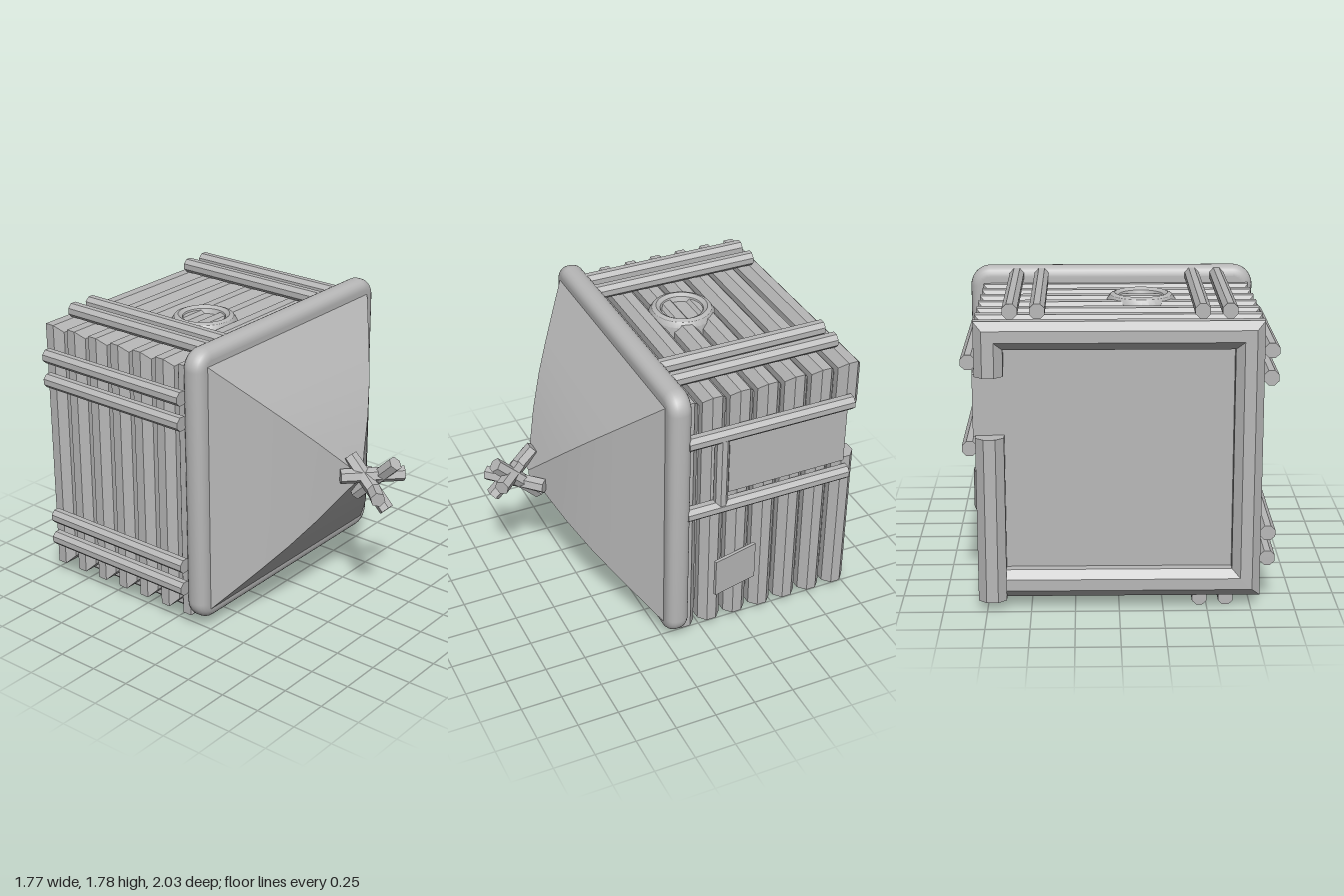
import * as THREE from 'three';
import { toCreasedNormals } from 'three/addons/utils/BufferGeometryUtils.js';

const CY = 0.88;    // height of the body centre
const HALF = 0.72;  // distance from body centre to the log axes

export function createModel() {
  const model = new THREE.Group();
  const gray = new THREE.MeshStandardMaterial({ color: 0xb8b8b8 });

  function add(name, geo, x = 0, y = 0, z = 0) {
    const mesh = new THREE.Mesh(geo, gray);
    mesh.name = name;
    mesh.position.set(x, y, z);
    model.add(mesh);
    return mesh;
  }

  function faceted(geo) {
    const flat = geo.index ? geo.toNonIndexed() : geo;
    flat.computeVertexNormals();
    return flat;
  }

  // Straight faceted rod centred on a point, running along a direction
  function rod(name, center, dir, length, radius, sides = 8) {
    const geo = new THREE.CylinderGeometry(radius, radius, length, sides);
    geo.rotateY(Math.PI / sides);
    const mesh = add(name, faceted(geo), ...center);
    mesh.quaternion.setFromUnitVectors(new THREE.Vector3(0, 1, 0), new THREE.Vector3(...dir).normalize());
    return mesh;
  }

  // Octagonal log swept through stations; each maps the outward offset u to x, y
  function log(name, stations, z0) {
    const n = 8, k = 1 / Math.cos(Math.PI / n), pos = [], idx = [];
    for (const at of stations) {
      for (let j = 0; j < n; j++) {
        const t = (j + 0.5) * 2 * Math.PI / n;
        const [x, y] = at(HALF + 0.08 * k * Math.cos(t));
        pos.push(x, CY + y, z0 + 0.072 * k * Math.sin(t));
      }
    }
    const last = (stations.length - 1) * n;
    for (let i = 0; i < last; i += n) {
      for (let j = 0; j < n; j++) {
        const a = i + j, b = i + (j + 1) % n;
        idx.push(a, a + n, b, b, a + n, b + n);
      }
    }
    for (let j = 1; j < n - 1; j++) {
      idx.push(0, j, j + 1, last, last + j + 1, last + j);
    }
    const geo = new THREE.BufferGeometry();
    geo.setAttribute('position', new THREE.Float32BufferAttribute(pos, 3));
    geo.setIndex(idx);
    add(name, faceted(geo), 0, 0, 0);
  }

  // Inner body
  add('body', new THREE.BoxGeometry(1.42, 1.42, 1.03), 0, CY, -0.385);

  // Log hoops around the body, the rear one interrupted by the window
  const upright = (y) => (d) => [d, y - CY];
  const around = [(d) => [d, d], (d) => [-d, d], (d) => [-d, -d], (d) => [0.64, -d]];
  for (let i = 0; i < 7; i++) {
    const z = 0.11 - i * 0.1725;
    if (i < 6) {
      log('logHoop', [upright(0.055), ...around], z);
    } else {
      log('rearLowerLog', [upright(0.055), upright(1.02)], z);
      log('rearLogHoop', [upright(1.37), ...around], z);
    }
  }

  // Window block and small tilted hatch plate on the side
  add('sideWindow', new THREE.BoxGeometry(0.2, 0.36, 0.76), 0.715, 1.19, -0.52);
  const hatch = add('hatchPlate', new THREE.BoxGeometry(0.02, 0.25, 0.3), 0.835, 0.435, -0.19);
  hatch.rotation.y = 0.22;

  // Rails running front to back
  const railAt = (name, x, y) => rod(name, [x, y, -0.385], [0, 0, 1], 1.05, 0.046);
  for (const x of [-0.61, -0.46, 0.45, 0.6]) railAt('topRail', x, 1.725);
  for (const x of [-0.61, -0.46]) railAt('bottomRail', x, 0.045);
  for (const y of [1.5, 1.345, 0.435, 0.285]) railAt('rightRail', -0.845, y);
  for (const y of [1.44, 0.945]) railAt('leftRail', 0.835, y);
  rod('railStrut', [0.835, 1.19, -0.08], [0, 1, 0], 0.48, 0.042);

  // Round port on the roof
  const port = [[0.2, 1.58], [0.2, 1.665], [0.18, 1.695], [0.155, 1.705], [0.13, 1.69], [0.12, 1.66], [0, 1.66]]
    .map(([r, y]) => new THREE.Vector2(r, y));
  const portGeo = new THREE.LatheGeometry(port, 32);
  add('roofPort', toCreasedNormals(portGeo, 0.6), -0.14, 0, -0.285);

  // Rounded front plate
  const h = 0.795, r = 0.06, plate = new THREE.Shape();
  plate.absarc(h - r, h - r, r, 0, Math.PI / 2);
  plate.absarc(r - h, h - r, r, Math.PI / 2, Math.PI);
  plate.absarc(r - h, r - h, r, Math.PI, Math.PI * 1.5);
  plate.absarc(h - r, r - h, r, Math.PI * 1.5, Math.PI * 2);
  const plateGeo = new THREE.ExtrudeGeometry(plate, {
    depth: 0.02, bevelThickness: 0.06, bevelSize: 0.06, bevelSegments: 5, curveSegments: 6,
  });
  add('frontPlate', toCreasedNormals(plateGeo, 0.6), 0.025, 0.925, 0.175);

  // Bulging four-sided nose: z and half width of each cross-section
  const profile = [[0.24, 0.79], [0.35, 0.655], [0.45, 0.53], [0.55, 0.4], [0.65, 0.25], [0.735, 0.1], [0.79, 0.015]];
  for (let s = 0; s < 4; s++) {
    const pos = [], idx = [];
    profile.forEach(([z, w], i) => {
      const shift = 0.02 * (w / 0.79);
      for (const side of [-1, 1]) {
        const p = new THREE.Vector2(w, side * w).rotateAround(new THREE.Vector2(), s * Math.PI / 2);
        pos.push(p.x + shift, p.y + 0.895 + shift, z);
      }
      if (i) {
        const a = 2 * i - 2;
        idx.push(a, a + 1, a + 2, a + 1, a + 3, a + 2);
      }
    });
    const geo = new THREE.BufferGeometry();
    geo.setAttribute('position', new THREE.Float32BufferAttribute(pos, 3));
    geo.setIndex(idx);
    geo.computeVertexNormals();
    add('noseSide', geo);
  }

  // Crossed hexagonal rods at the nose tip
  const tips = [[0.035, 0, 0, 1, 1], [-0.04, 0, 0, 1, -1], [0, 0.035, 1, 0, 1], [0, -0.035, -1, 0, 1]];
  for (const [x, y, dx, dy, dz] of tips) {
    rod('tipRod', [x, 0.89 + y, 0.868], [dx, dy, dz], 0.4 - 0.02, 0.045, 6);
  }

  return model;
}
